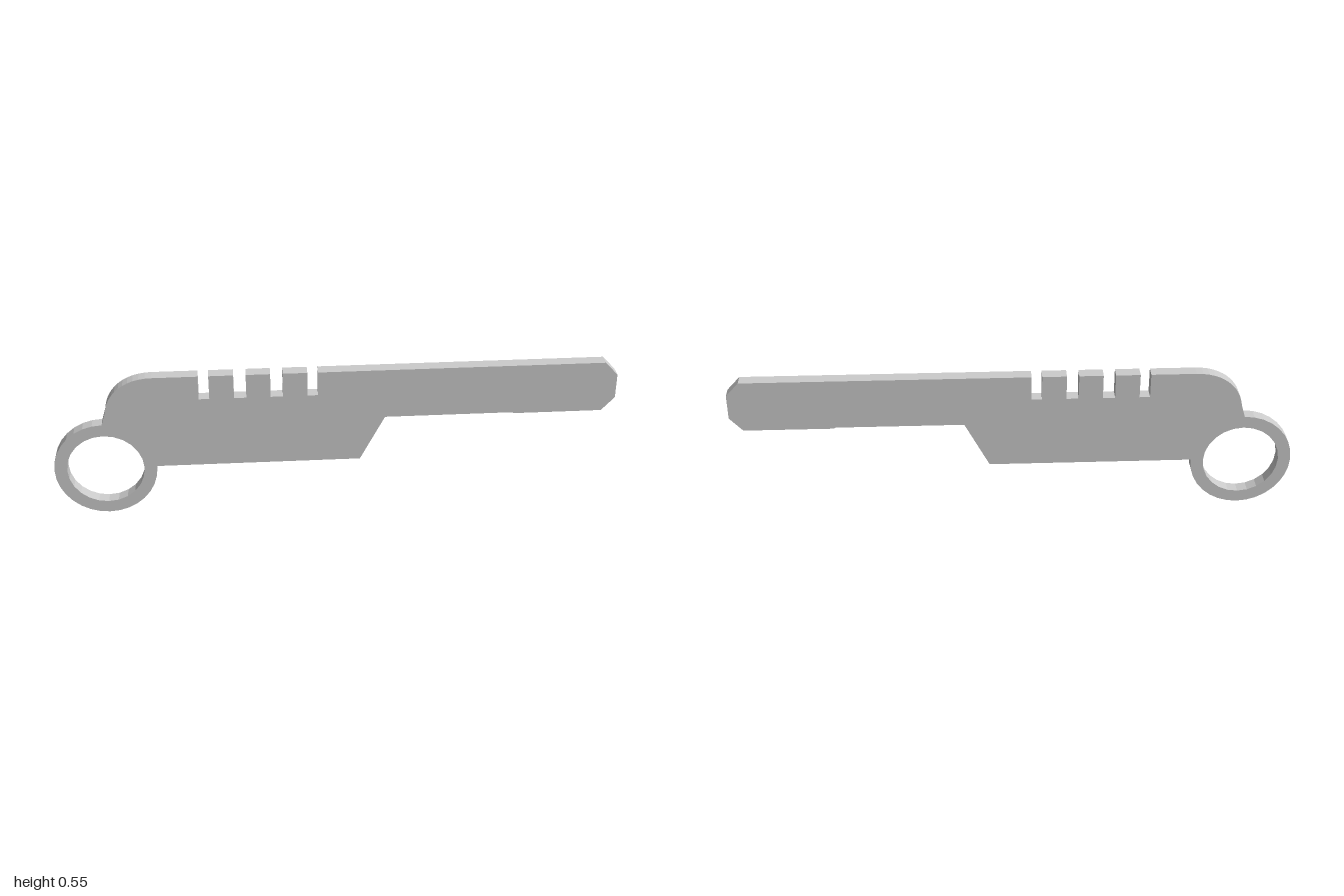
import * as THREE from 'three';

const DEPTH = 0.045;
const RING = { x: -0.819, y: 0.182, outer: 0.182, inner: 0.137 };

export function createModel() {
  const group = new THREE.Group();
  group.name = 'notchedKey';

  const outline = new THREE.Shape();
  // deep body, stepped lower edge and long blade with a chamfered tip
  outline.moveTo(RING.x + RING.outer, 0.187);
  outline.lineTo(0.09, 0.187);
  outline.lineTo(0.178, 0.357);
  outline.lineTo(0.63, 0.357);
  outline.lineTo(0.64, 0.353);
  outline.lineTo(0.954, 0.353);
  outline.lineTo(1, 0.404);
  outline.lineTo(1, 0.495);
  outline.lineTo(0.954, 0.545);

  // four notches cut into the top edge
  for (const [left, right] of [[-0.096, -0.059], [-0.225, -0.182], [-0.353, -0.31], [-0.476, -0.439]]) {
    outline.lineTo(right, 0.545);
    outline.lineTo(right, 0.455);
    outline.lineTo(left, 0.455);
    outline.lineTo(left, 0.545);
  }

  // rounded shoulder running down to the ring
  outline.lineTo(-0.635, 0.545);
  outline.bezierCurveTo(-0.73, 0.545, -0.795, 0.49, -0.805, 0.41);
  outline.lineTo(-0.819, RING.y + RING.outer);

  // outer three quarters of the finger ring
  outline.absarc(RING.x, RING.y, RING.outer, Math.PI / 2, Math.PI * 2, false);

  // ring opening
  const opening = new THREE.Path();
  opening.absarc(RING.x, RING.y, RING.inner, 0, Math.PI * 2, true);
  outline.holes.push(opening);

  const geometry = new THREE.ExtrudeGeometry(outline, {
    depth: DEPTH, bevelEnabled: false, curveSegments: 12,
  });
  geometry.translate(0, 0, -DEPTH / 2);

  const plate = new THREE.Mesh(
    geometry,
    new THREE.MeshStandardMaterial({ color: 0xcccccc, flatShading: true }),
  );
  plate.name = 'ringedPlate';
  group.add(plate);
  return group;
}
